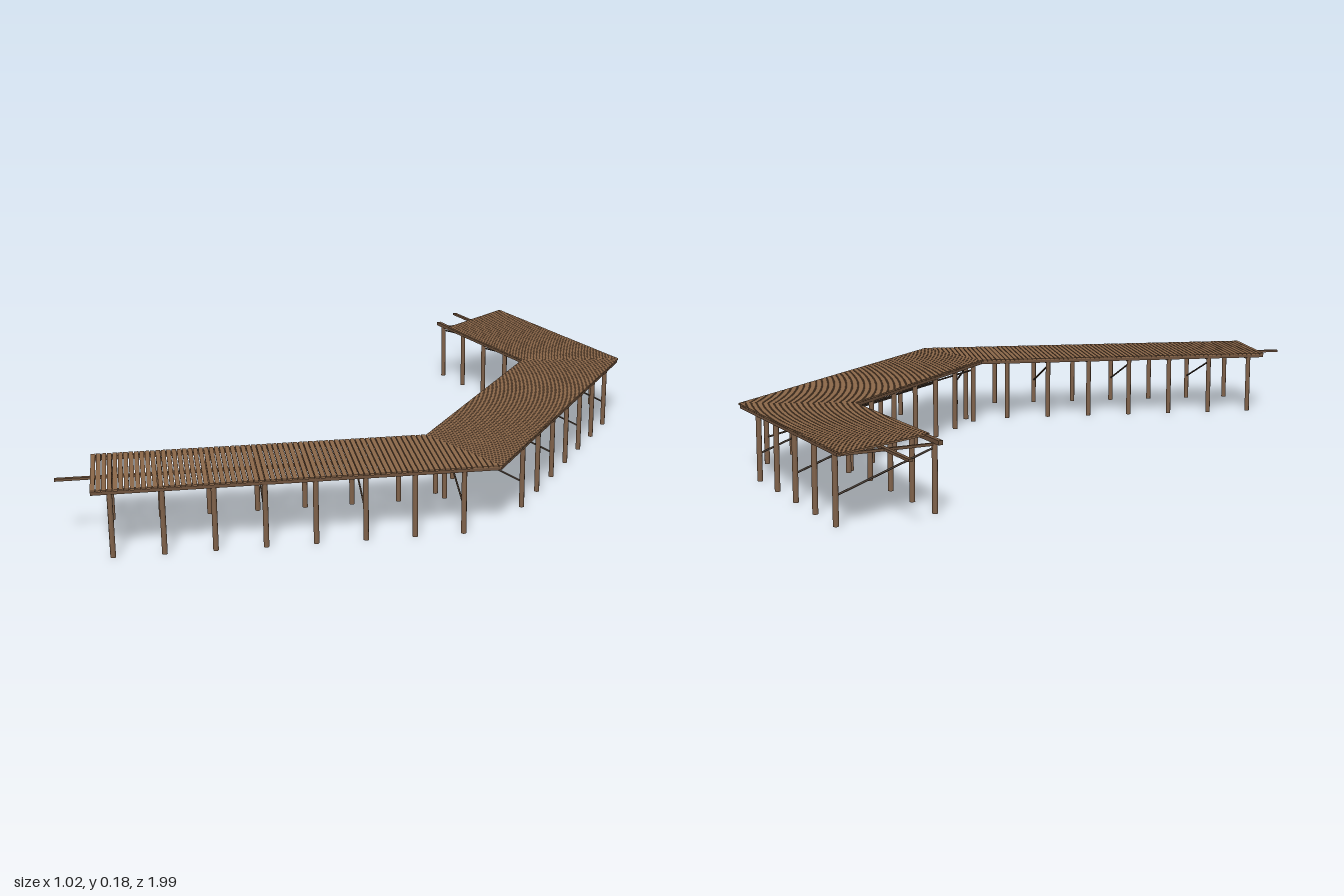
import * as THREE from 'three';
import { mergeGeometries } from 'three/addons/utils/BufferGeometryUtils.js';

const V = (x, z) => new THREE.Vector2(x, z);
const HALF = 0.132, POST = 0.122;

// Centre line of the walkway, from the front end to the back end
const path = [V(-0.2525, 0.905), V(0.36, 0.1975), V(0.1225, -0.6575), V(-0.39, -0.86)];

// Support frames per section: first position, spacing, count, and which ones carry a brace
const frames = [
  { start: 0.045, step: 0.124, count: 8, braced: 1 },
  { start: 0.112, step: 0.122, count: 7, braced: 0 },
  { start: 0.054, step: 0.123, count: 5, braced: 0 },
];

// Keep the part of a polygon where (p - origin) . normal >= 0
function clip(poly, { origin, normal }) {
  const out = [];
  poly.forEach((a, i) => {
    const b = poly[(i + 1) % poly.length];
    const da = a.clone().sub(origin).dot(normal), db = b.clone().sub(origin).dot(normal);
    if (da >= 0) out.push(a);
    if (da * db < 0) out.push(a.clone().lerp(b, da / (da - db)));
  });
  return out;
}

// Flat slab in section coordinates (t along, w towards the outer side), cut by the given planes
function slab(sec, t0, t1, w0, w1, y0, y1, planes) {
  let poly = [[t0, w0], [t1, w0], [t1, w1], [t0, w1]].map(([t, w]) => sec.at(t, w));
  for (const p of planes) poly = clip(poly, p);
  if (poly.length < 3 || Math.abs(THREE.ShapeUtils.area(poly)) < 1e-6) return null;
  const shape = new THREE.Shape(poly.map((p) => V(p.x, -p.y)));
  return new THREE.ExtrudeGeometry(shape, { depth: y1 - y0, bevelEnabled: false })
    .rotateX(-Math.PI / 2).translate(0, y0, 0);
}

// Round bar between two points
function bar(a, b, radius, sides) {
  const dir = b.clone().sub(a);
  const geo = new THREE.CylinderGeometry(radius, radius, dir.length(), sides);
  geo.applyQuaternion(new THREE.Quaternion().setFromUnitVectors(new THREE.Vector3(0, 1, 0), dir.normalize()));
  const mid = a.clone().add(b).multiplyScalar(0.5);
  return geo.translate(mid.x, mid.y, mid.z);
}

export function createModel() {
  const group = new THREE.Group();
  const material = (name, color) => {
    const m = new THREE.MeshStandardMaterial({ color });
    m.name = name;
    return m;
  };
  const plankWood = material('plank wood', 0x8b6749);
  const beamWood = material('beam wood', 0x6e523c);
  const postWood = material('post wood', 0x80624a);
  const braceWood = material('dark brace wood', 0x443529);
  const add = (name, geos, mat) => {
    const mesh = new THREE.Mesh(mergeGeometries(geos.filter(Boolean)), mat);
    mesh.name = name;
    group.add(mesh);
  };

  const dirs = [0, 1, 2].map((i) => path[i + 1].clone().sub(path[i]).normalize());
  const names = ['front', 'middle', 'back'];

  for (let i = 0; i < 3; i++) {
    const d = dirs[i], n = V(-d.y, d.x);
    const length = path[i].distanceTo(path[i + 1]);
    const sec = { at: (t, w) => path[i].clone().addScaledVector(d, t).addScaledVector(n, w) };
    const point = (t, w, y) => {
      const p = sec.at(t, w);
      return new THREE.Vector3(p.x, y, p.y);
    };

    // Mitre planes where sections meet
    const mitres = [];
    if (i > 0) mitres.push({ origin: path[i], normal: d.clone().add(dirs[i - 1]).normalize() });
    if (i < 2) mitres.push({ origin: path[i + 1], normal: d.clone().add(dirs[i + 1]).normalize().negate() });
    const deckCuts = i === 2 ? [...mitres, { origin: V(-0.39, 0), normal: V(1, 0) }] : mitres;

    // Deck planks laid across the walkway
    const planks = [];
    const pitch = 0.0135, from = i === 0 ? 0 : -0.162, to = i === 0 ? length + 0.15 : length + 0.16;
    for (let t = from; t < to; t += pitch) {
      planks.push(slab(sec, t, t + pitch - 0.002, -HALF, HALF, 0.1735, 0.178, deckCuts));
    }
    add(names[i] + 'Planks', planks, plankWood);

    // Edge beams and the lower central beam that runs past both ends
    const t0 = i === 0 ? 0 : -0.2;
    const t1 = i === 2 ? length + 0.025 : length + 0.2;
    add(names[i] + 'EdgeBeams', [-1, 1].map((s) =>
      slab(sec, t0, t1, s * 0.123 - 0.006, s * 0.123 + 0.006, 0.165, 0.1755, mitres)), beamWood);
    add(names[i] + 'CentreBeam', [slab(sec, i === 0 ? -0.088 : -0.2, i === 2 ? length + 0.128 : length + 0.2,
      -0.005, 0.005, 0.16, 0.1665, mitres)], beamWood);

    // Post pairs, cross beams and diagonal braces
    const posts = [], crossBeams = [], braces = [];
    const f = frames[i];
    for (let k = 0; k < f.count; k++) {
      const t = f.start + k * f.step;
      for (const s of [-1, 1]) posts.push(bar(point(t, s * POST, 0), point(t, s * POST, 0.167), 0.0068, 8));
      crossBeams.push(slab(sec, t - 0.0035, t + 0.0035, -POST, POST, 0.159, 0.1655, []));
      // The inner side of the bend is the high end of each brace
      if (k % 2 === f.braced) braces.push(bar(point(t, -POST, 0.155), point(t, POST, 0.07), 0.0025, 6));
    }
    add(names[i] + 'Posts', posts, postWood);
    add(names[i] + 'CrossBeams', crossBeams, beamWood);
    add(names[i] + 'Braces', braces, braceWood);
  }
  return group;
}
